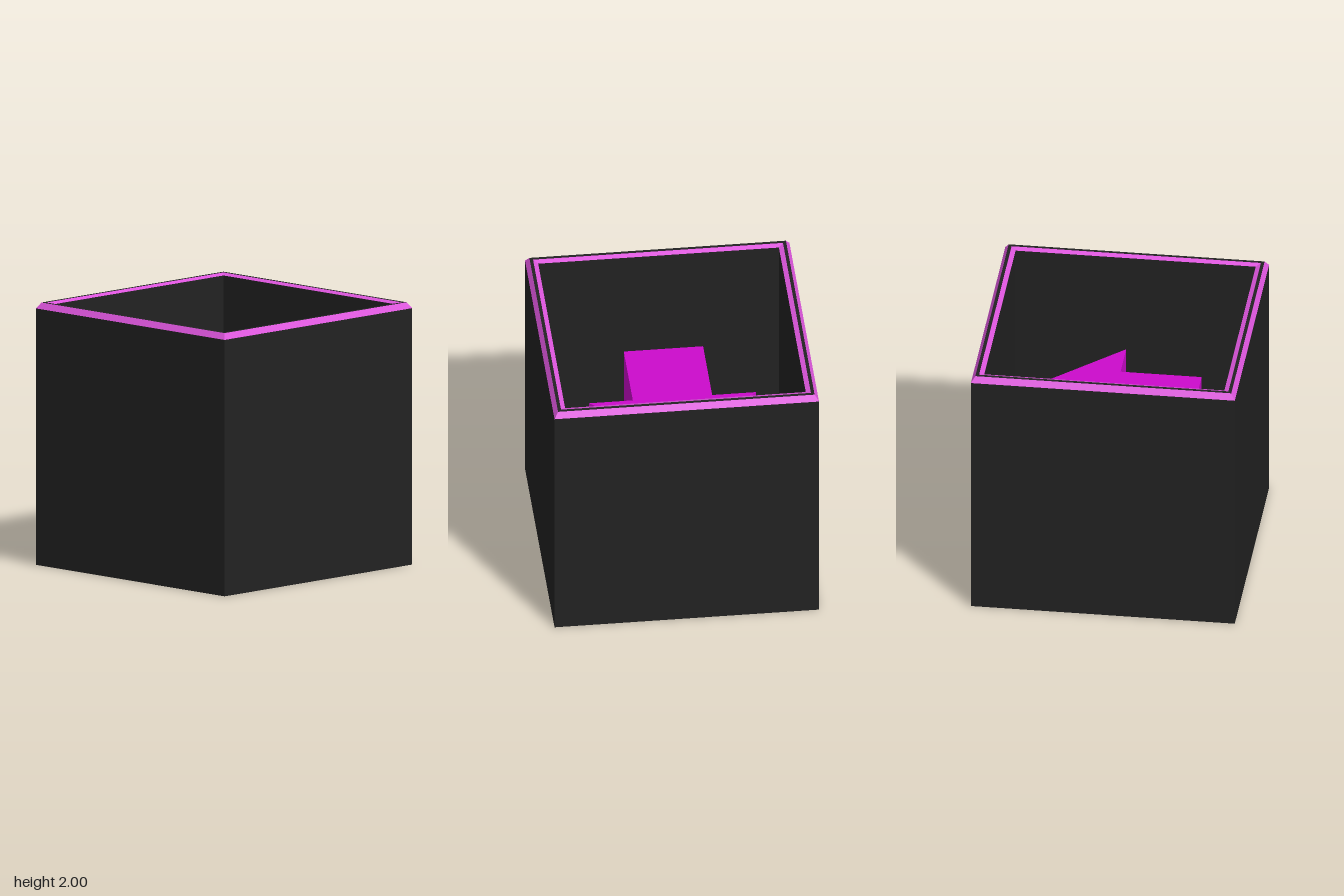
import * as THREE from 'three';

const dark = new THREE.MeshStandardMaterial({ color: 0x222222, flatShading: true });
const rimPink = new THREE.MeshStandardMaterial({ color: 0xdd55dd, flatShading: true });
const magenta = new THREE.MeshStandardMaterial({ color: 0xcc0acc, flatShading: true });

// Square shell swept from a profile of [half width, height] points
function squareSweep(name, profile, material) {
  const points = profile.map(([half, y]) => new THREE.Vector2(half * Math.SQRT2, y));
  const mesh = new THREE.Mesh(new THREE.LatheGeometry(points, 4, Math.PI / 4), material);
  mesh.name = name;
  return mesh;
}

export function createModel() {
  const group = new THREE.Group();
  group.name = 'openBoxWithArrow';
  const floorY = 0.08, wallIn = 0.91, wallTop = 1.955;
  const ridgeOut = 0.97, ridgeIn = 0.945, innerY = 1.985;

  // Box: underside with outer walls, inner walls with floor, and the ridge between the trims
  group.add(
    squareSweep('outerWalls', [[0, 0], [1, 0], [1, wallTop]], dark),
    squareSweep('innerWallsAndFloor', [[wallIn, innerY], [wallIn, floorY], [0, floorY]], dark),
    squareSweep('rimRidge', [[ridgeOut, 2], [ridgeIn, 2]], dark),
  );

  // Coloured bevels on both sides of the ridge
  group.add(
    squareSweep('outerRimBevel', [[1, wallTop], [ridgeOut, 2]], rimPink),
    squareSweep('innerRimBevel', [[ridgeIn, 2], [wallIn, innerY]], rimPink),
  );

  // Solid arrow standing on the floor, pointing to +x
  const outline = [
    [-0.58, -0.3], [0.035, -0.3], [0.035, -0.63], [0.67, 0],
    [0.035, 0.63], [0.035, 0.3], [-0.58, 0.3],
  ].map(([x, y]) => new THREE.Vector2(x, y));
  const arrowGeometry = new THREE.ExtrudeGeometry(new THREE.Shape(outline), {
    depth: 1.355 - floorY, bevelEnabled: false,
  });
  arrowGeometry.rotateX(-Math.PI / 2);
  const arrow = new THREE.Mesh(arrowGeometry, magenta);
  arrow.name = 'arrow';
  arrow.position.y = floorY;
  group.add(arrow);

  return group;
}
